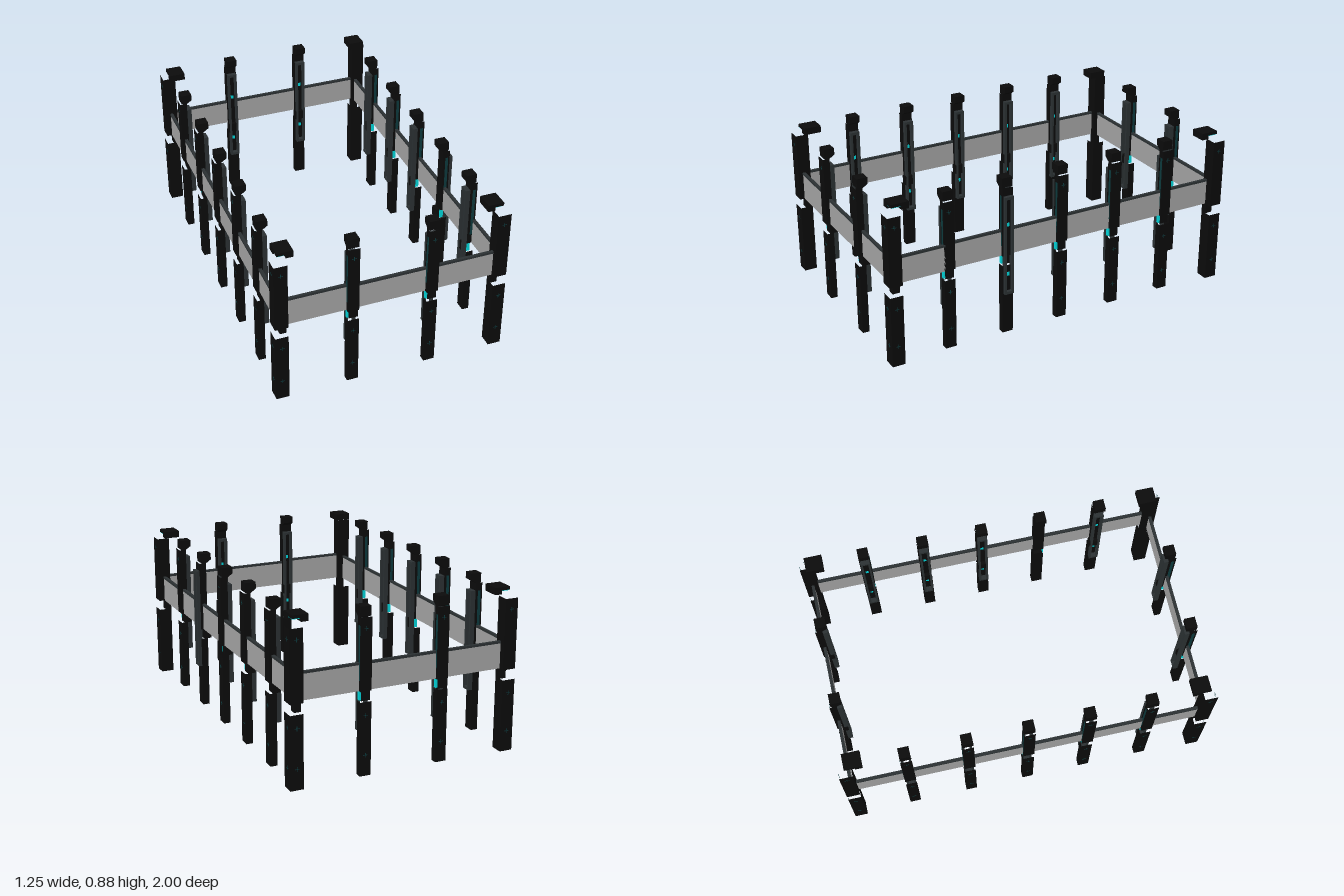
import * as THREE from 'three';

const mat = (name, color, side = THREE.FrontSide) => {
  const m = new THREE.MeshStandardMaterial({ color, side });
  m.name = name;
  return m;
};

export function createModel() {
  const black = mat('black metal', 0x0b0b0b);
  const trim = mat('dark grey trim', 0x2b3133);
  const grey = mat('grey panel', 0xa4a4a4);
  const cyan = mat('cyan light', 0x00d8dc);
  const teal = mat('dim teal', 0x0c3a3d);
  const root = new THREE.Group();
  root.name = 'fence';

  // Box from its lower and upper limits; open boxes have no top face
  const box = (parent, name, material, [x0, x1], [y0, y1], [z0, z1], open = false) => {
    const g = new THREE.BoxGeometry(x1 - x0, y1 - y0, z1 - z0);
    if (open) {
      const index = Array.from(g.index.array);
      index.splice(12, 6);
      g.setIndex(index);
      g.clearGroups();
    }
    const m = new THREE.Mesh(g, material);
    m.name = name;
    m.position.set((x0 + x1) / 2, (y0 + y1) / 2, (z0 + z1) / 2);
    parent.add(m);
    return m;
  };

  // Small cross-shaped marks at three heights on an outer face (+z)
  const marks = (parent, z) => {
    for (const y of [0.11, 0.32, 0.765]) {
      box(parent, 'markBar', teal, [-0.012, 0.012], [y - 0.0015, y + 0.0015], [z, z + 0.001]);
      box(parent, 'markPole', teal, [-0.0015, 0.0015], [y - 0.012, y + 0.012], [z, z + 0.001]);
    }
  };

  // Rectangular ring frame on a post
  const ring = new THREE.Shape([[-0.026, 0.23], [0.026, 0.23], [0.026, 0.78], [-0.026, 0.78]]
    .map(p => new THREE.Vector2(...p)));
  ring.holes.push(new THREE.Path([[-0.015, 0.245], [-0.015, 0.765], [0.015, 0.765], [0.015, 0.245]]
    .map(p => new THREE.Vector2(...p))));
  const ringGeo = new THREE.ExtrudeGeometry(ring, { depth: 0.026, bevelEnabled: false });

  // Head with a sloped underside, leaning inward
  const headGeo = new THREE.ExtrudeGeometry(new THREE.Shape([
    [-0.029, 0.84], [0.008, 0.815], [0.029, 0.825], [0.029, 0.875], [-0.029, 0.875],
  ].map(p => new THREE.Vector2(...p))), { depth: 0.058, bevelEnabled: false });
  headGeo.translate(0, 0, -0.029).rotateY(-Math.PI / 2);

  // Intermediate post: outward is local +z
  const post = (x, z, turn, frameOutside = false) => {
    const p = new THREE.Group();
    p.name = 'post';
    const w = [-0.03, 0.03];
    box(p, 'lowerPost', black, w, [0, 0.39], [0, 0.037], true);
    box(p, 'upperPost', black, w, [0.445, 0.822], [0, 0.037], true);
    box(p, 'postJoint', black, [-0.018, 0.03], [0.39, 0.445], [-0.02, 0.02]);
    box(p, 'jointLight', cyan, [-0.028, -0.018], [0.395, 0.445], [0, 0.018]);
    const head = new THREE.Mesh(headGeo, black);
    head.name = 'postHead';
    p.add(head);
    const frame = new THREE.Mesh(ringGeo, trim);
    frame.name = 'postFrame';
    frame.position.z = frameOutside ? 0.03 : -0.026;
    p.add(frame);
    const fz = frameOutside ? 0.038 : -0.002;
    for (const y of [0.34, 0.62]) {
      box(p, 'frameLight', cyan, [-0.008, 0.008], [y - 0.01, y + 0.01], [fz, fz + 0.002]);
    }
    box(p, 'postSideStrip', teal, [-0.031, -0.03], [0.5, 0.78], [0.012, 0.028]);
    if (!frameOutside) marks(p, 0.037);
    p.position.set(x, 0, z);
    p.rotation.y = turn;
    root.add(p);
  };
  for (const z of [0.655, 0.325, 0, -0.325, -0.65]) {
    post(0.555, z, Math.PI / 2, z === 0.325);
    post(-0.578, z, -Math.PI / 2);
  }
  for (const x of [-0.216, 0.211]) {
    post(x, 0.957, 0);
    post(x, -0.943, Math.PI);
  }

  // Corner posts with an inset cap
  for (const sx of [-1, 1]) for (const sz of [-1, 1]) {
    const c = new THREE.Group();
    c.name = 'cornerPost';
    const span = (s, a, b) => (s > 0 ? [a, b] : [-b, -a]);
    const bx = span(sx, -0.035, 0.035), bz = span(sz, -0.035, 0.035);
    box(c, 'lowerCorner', black, bx, [0, 0.39], bz, true);
    box(c, 'upperCorner', black, bx, [0.445, 0.822], bz, true);
    box(c, 'cornerJoint', black, span(sx, -0.035, 0), [0.39, 0.445], span(sz, -0.035, 0.005));
    const cx = span(sx, -0.078, 0.007), cz = span(sz, -0.095, 0);
    box(c, 'capTop', black, cx, [0.858, 0.875], cz);
    box(c, 'capLipX', black, span(sx, -0.078, -0.04), [0.838, 0.858], cz);
    box(c, 'capLipZ', black, span(sx, -0.04, 0.007), [0.838, 0.858], span(sz, -0.095, -0.055));
    box(c, 'capLight', cyan, span(sx, -0.036, 0.004), [0.854, 0.858], span(sz, -0.051, -0.003));
    const front = new THREE.Group();
    front.name = 'cornerMarks';
    marks(front, 0.035);
    if (sz < 0) front.rotation.y = Math.PI;
    const side = front.clone();
    side.rotation.y = sx * Math.PI / 2;
    c.add(front, side);
    c.position.set(sx > 0 ? 0.588 : -0.594, 0, sz * 0.964);
    root.add(c);
  }

  // Grey panels with a dark top rail
  const panel = (xs, zs, top = 0.592) => {
    const t = 0.002;
    box(root, 'panel', grey, xs, [0.445, top - 0.012], zs);
    box(root, 'panelRail', trim, [xs[0] - t, xs[1] + t], [top - 0.012, top], [zs[0] - t, zs[1] + t]);
  };
  panel([-0.56, -0.245], [0.961, 0.973], 0.602);
  panel([-0.185, 0.56], [0.961, 0.973]);
  panel([-0.56, 0.56], [-0.964, -0.952]);
  panel([-0.6, -0.588], [-0.93, 0.93]);
  panel([0.567, 0.579], [-0.93, 0.67]);
  panel([0.58, 0.592], [0.68, 0.93]);

  return root;
}
